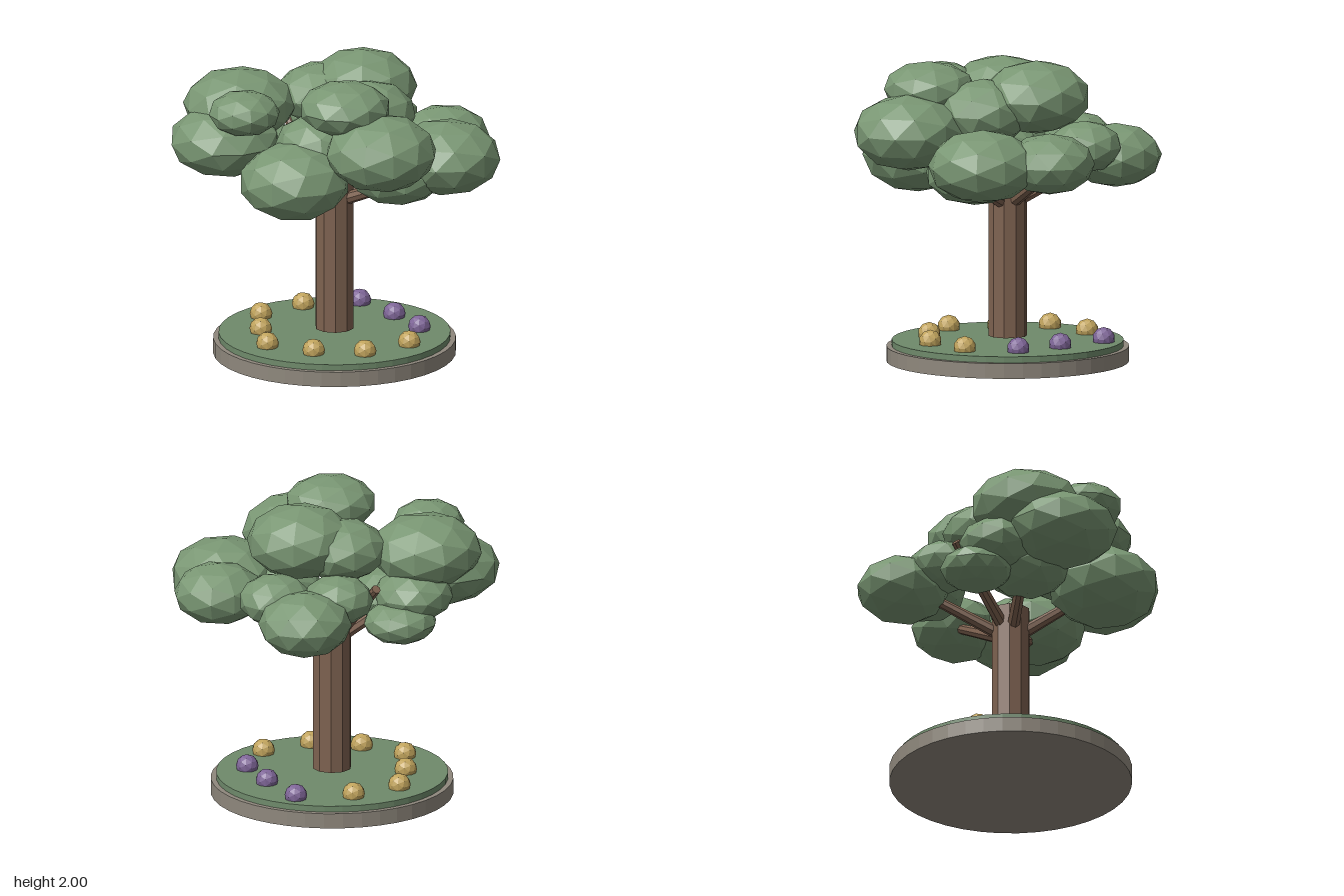
import * as THREE from 'three';

export function createModel() {
  const model = new THREE.Group();
  const paint = (name, color) => {
    const m = new THREE.MeshStandardMaterial({ color, flatShading: true });
    m.name = name;
    return m;
  };
  const stone = paint('stone', 0x8f887d);
  const grass = paint('grass', 0x6f8a6b);
  const bark = paint('bark', 0x7e6250);
  const leaf = paint('leaf', 0x799673);
  const yellow = paint('yellow', 0xc0a35c);
  const purple = paint('purple', 0x7e6597);

  const add = (name, geometry, material, x, y, z) => {
    const mesh = new THREE.Mesh(geometry, material);
    mesh.name = name;
    mesh.position.set(x, y, z);
    model.add(mesh);
    return mesh;
  };

  // Everything on the ground shares the trunk's axis
  const cx = -0.1, cz = -0.025;

  // Round base and lawn
  add('stoneBase', new THREE.CylinderGeometry(0.79, 0.79, 0.1, 40), stone, cx, 0.05, cz);
  add('lawn', new THREE.CylinderGeometry(0.755, 0.755, 0.04, 40), grass, cx, 0.12, cz);

  // Trunk
  add('trunk', new THREE.CylinderGeometry(0.127, 0.127, 1.06, 10), bark, cx, 0.695, cz);

  // Branches fan out from the top of the trunk: end points
  const root = new THREE.Vector3(cx, 1.02, cz);
  [
    [0.5, 1.27, -0.03],
    [0.25, 1.36, -0.58],
    [-0.36, 1.34, -0.55],
    [-0.62, 1.53, -0.2],
    [-0.6, 1.45, 0.3],
    [0.02, 1.32, 0.5],
  ].forEach((p) => {
    const end = new THREE.Vector3(...p);
    const dir = end.clone().sub(root);
    const mid = root.clone().add(end).multiplyScalar(0.5);
    const branch = add('branch', new THREE.CylinderGeometry(0.03, 0.045, dir.length(), 8), bark, mid.x, mid.y, mid.z);
    branch.quaternion.setFromUnitVectors(new THREE.Vector3(0, 1, 0), dir.normalize());
  });

  // Ring of flowers: distance from the trunk, one every 36 degrees
  const flower = new THREE.IcosahedronGeometry(0.074, 1);
  [0.58, 0.556, 0.52, 0.56, 0.48, 0.57, 0.57, 0.635, 0.5, 0.553].forEach((r, i) => {
    const a = (i * Math.PI) / 5;
    add('flower', flower, i > 6 ? purple : yellow, cx + r * Math.cos(a), 0.165, cz + r * Math.sin(a));
  });

  // Foliage clumps: x, y, z, radius, half height
  const clump = new THREE.IcosahedronGeometry(1, 1);
  [
    [-0.04, 1.76, -0.27, 0.355, 0.24],
    [0.24, 1.81, 0.37, 0.3, 0.175],
    [0.52, 1.555, 0.37, 0.365, 0.25],
    [0.625, 1.39, -0.24, 0.36, 0.24],
    [0.38, 1.4, -0.6, 0.295, 0.2],
    [-0.4, 1.36, -0.66, 0.305, 0.21],
    [-0.38, 1.74, 0.62, 0.235, 0.145],
    [-0.59, 1.5, 0.53, 0.365, 0.23],
    [-0.625, 1.68, 0.3, 0.37, 0.235],
    [-0.01, 1.33, 0.59, 0.365, 0.25],
    [0.38, 1.3, -0.04, 0.32, 0.21],
    [0.18, 1.67, 0, 0.31, 0.22],
    [-0.26, 1.71, -0.12, 0.3, 0.2],
    [-0.43, 1.46, -0.36, 0.23, 0.16],
    [-0.1, 1.45, -0.6, 0.24, 0.17],
    [-0.68, 1.28, -0.03, 0.24, 0.14],
    [-0.67, 1.43, 0.12, 0.26, 0.17],
    [0, 1.51, 0.31, 0.29, 0.2],
    [-0.42, 1.36, 0.22, 0.28, 0.19],
  ].forEach(([x, y, z, r, h], i) => {
    const mesh = add('foliage', clump, leaf, x, y, z);
    mesh.scale.set(r, h, r);
    mesh.rotation.y = i * 1.7;
  });

  return model;
}
